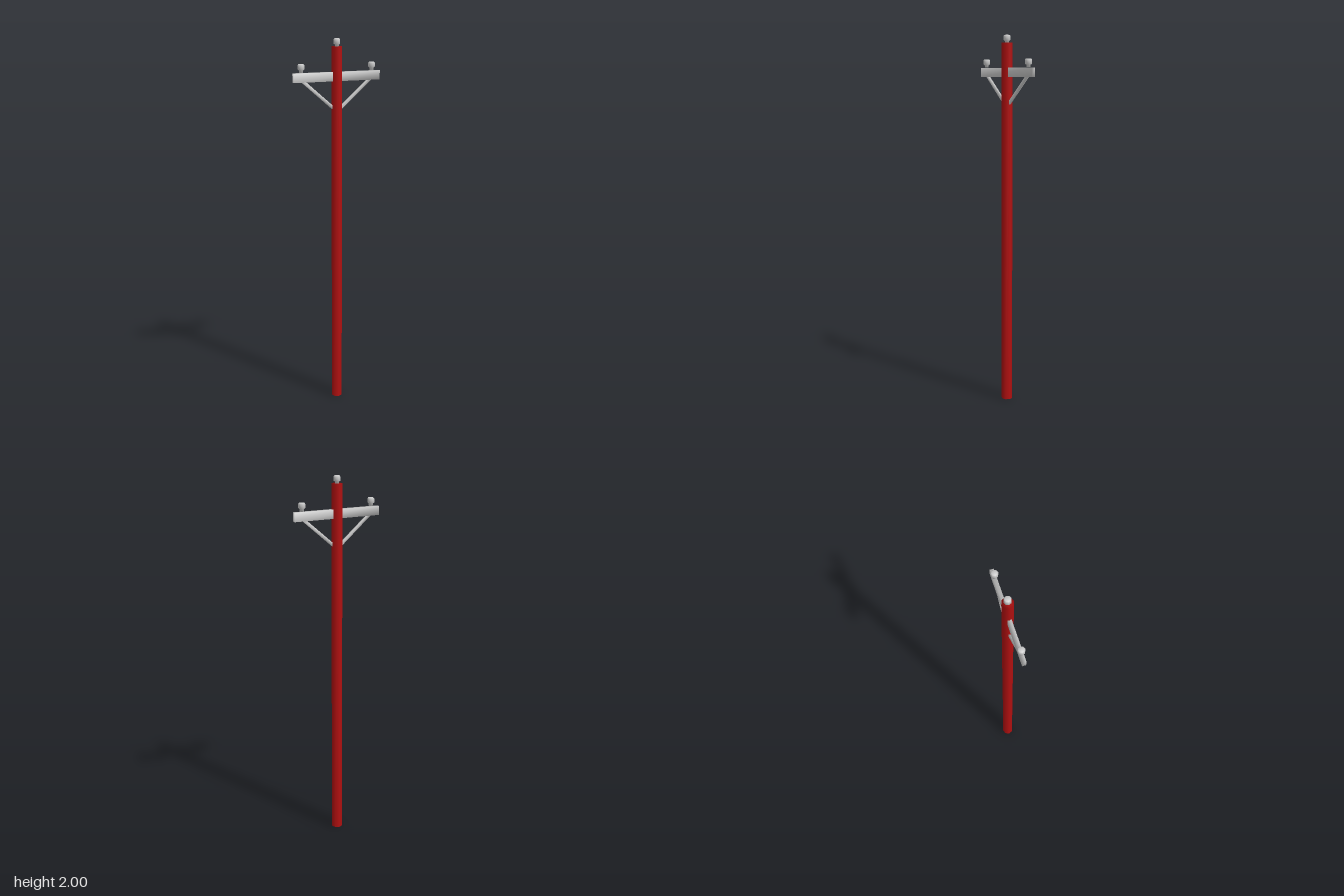
import * as THREE from 'three';
import { mergeVertices } from 'three/addons/utils/BufferGeometryUtils.js';

// Share vertices across all edges so shading runs smoothly over the caps.
function soften(geometry) {
  geometry.deleteAttribute('uv');
  geometry.deleteAttribute('normal');
  const merged = mergeVertices(geometry, 1e-4);
  merged.computeVertexNormals();
  return merged;
}

export function createModel() {
  const group = new THREE.Group();
  const grey = new THREE.MeshStandardMaterial({ color: 0xcccccc });
  const red = new THREE.MeshStandardMaterial({ color: 0xb01010 });

  const add = (name, geometry, material, x, y, z = 0) => {
    const mesh = new THREE.Mesh(geometry, material);
    mesh.name = name;
    mesh.position.set(x, y, z);
    group.add(mesh);
    return mesh;
  };

  // Eight-sided pole
  const poleHeight = 1.96;
  add('pole', soften(new THREE.CylinderGeometry(0.03, 0.03, poleHeight, 8)), red, 0, poleHeight / 2);

  // Horizontal crossarm through the pole
  add('crossarm', soften(new THREE.BoxGeometry(0.488, 0.048, 0.02)), grey, 0, 1.805);

  // Insulators: narrow neck flaring to a wider cap
  const profile = [[0, -0.004], [0.011, -0.004], [0.011, 0.008], [0.019, 0.014], [0.019, 0.034], [0.014, 0.04], [0, 0.04]]
    .map(([r, y]) => new THREE.Vector2(r, y));
  const insulator = soften(new THREE.LatheGeometry(profile, 8));
  add('topInsulator', insulator, grey, 0, 1.96);

  for (const side of [-1, 1]) {
    const label = side > 0 ? 'left' : 'right';
    add(label + 'Insulator', insulator, grey, side * 0.2, 1.835);

    // Diagonal brace from the pole up to the crossarm
    const low = new THREE.Vector2(0.015, 1.636);
    const high = new THREE.Vector2(0.195, 1.79);
    const span = high.clone().sub(low);
    const brace = add(label + 'Brace', soften(new THREE.BoxGeometry(span.length(), 0.016, 0.01)), grey,
      side * (low.x + high.x) / 2, (low.y + high.y) / 2);
    brace.rotation.z = side * span.angle();
  }
  return group;
}
